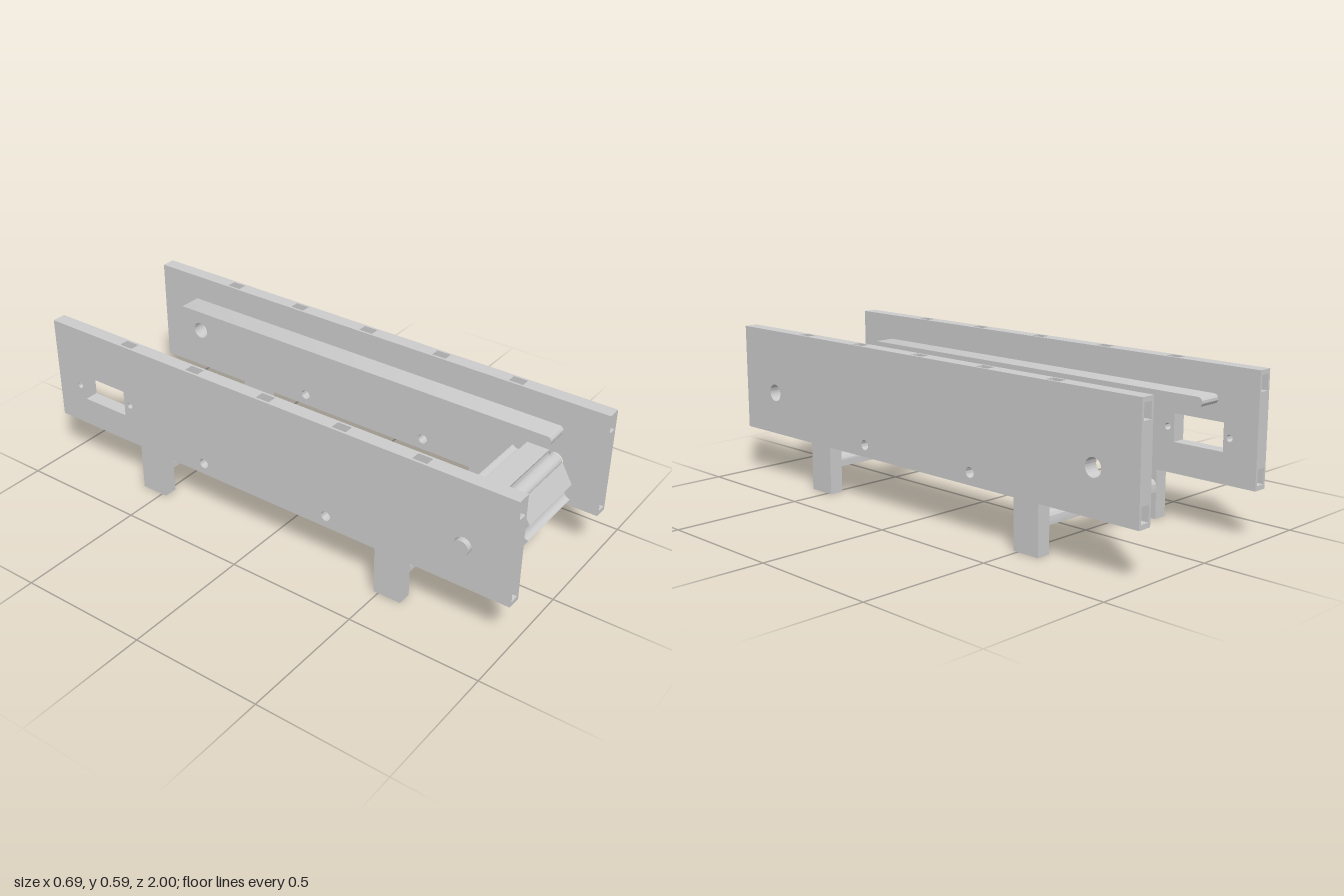
import * as THREE from 'three';
import { toCreasedNormals } from 'three/addons/utils/BufferGeometryUtils.js';

const material = new THREE.MeshStandardMaterial({ color: 0xcccccc });
const AXLE_Y = 0.346, AXLE_Z = 0.816;
const PLATE_THICKNESS = 0.054, SKIN = 0.009;

// Extrudes a (-z, y) profile along x, from x0 to x1
function alongX(shape, x0, x1) {
  const geometry = new THREE.ExtrudeGeometry(shape, { depth: x1 - x0, bevelEnabled: false, curveSegments: 24 });
  geometry.rotateY(Math.PI / 2).translate(x0, 0, 0);
  return toCreasedNormals(geometry, 0.6);
}

function add(parent, name, geometry) {
  const mesh = new THREE.Mesh(geometry, material);
  mesh.name = name;
  parent.add(mesh);
  return mesh;
}

function roundHole(z, y, radius) {
  return new THREE.Path().absarc(-z, y, radius, 0, Math.PI * 2, true);
}

// Plate outline with two legs; pockets are cut into the top and end edges when asked
function plateShape(pockets, hasWindow) {
  const bottom = 0.183, top = 0.592, depth = 0.06, half = 0.028;
  const pts = [[-1, bottom]];
  for (const u of [-0.535, 0.535]) {
    pts.push([u - 0.055, bottom], [u - 0.055, 0], [u + 0.055, 0], [u + 0.055, bottom]);
  }
  pts.push([1, bottom]);
  const endPockets = [0.228, 0.547];
  if (pockets) for (const y of endPockets) {
    pts.push([1, y - half], [1 - depth, y - half], [1 - depth, y + half], [1, y + half]);
  }
  pts.push([1, top]);
  if (pockets) for (const u of [0.635, 0.32, 0, -0.32, -0.635]) {
    pts.push([u + half, top], [u + half, top - depth], [u - half, top - depth], [u - half, top]);
  }
  pts.push([-1, top]);
  if (pockets) for (const y of [...endPockets].reverse()) {
    pts.push([-1, y + half], [depth - 1, y + half], [depth - 1, y - half], [-1, y - half]);
  }
  const shape = new THREE.Shape(pts.map(([u, y]) => new THREE.Vector2(u, y)));

  // Bolt holes and axle hole
  shape.holes.push(roundHole(0.275, 0.228, 0.019), roundHole(-0.275, 0.228, 0.019));
  shape.holes.push(roundHole(AXLE_Z, AXLE_Y, 0.033));
  if (hasWindow) {
    // Motor window with a screw hole on each side
    const window = [[0.66, 0.295], [0.66, 0.397], [0.865, 0.397], [0.865, 0.295]];
    shape.holes.push(new THREE.Path(window.map(([u, y]) => new THREE.Vector2(u, y))));
    shape.holes.push(roundHole(-0.632, AXLE_Y, 0.012), roundHole(-0.89, AXLE_Y, 0.012));
  } else {
    shape.holes.push(roundHole(-AXLE_Z, AXLE_Y, 0.033));
  }
  return shape;
}

// Two thin skins around a core with pockets
function sidePlate(name, x0, hasWindow) {
  const group = new THREE.Group();
  group.name = name;
  const x1 = x0 + PLATE_THICKNESS;
  add(group, 'plateSkin', alongX(plateShape(false, hasWindow), x0, x0 + SKIN));
  add(group, 'plateCore', alongX(plateShape(true, hasWindow), x0 + SKIN, x1 - SKIN));
  add(group, 'plateSkin', alongX(plateShape(false, hasWindow), x1 - SKIN, x1));
  return group;
}

// Bar with full round front and back edges
function railShape(y, radius, halfLength) {
  const u = halfLength - radius;
  const shape = new THREE.Shape();
  shape.absarc(u, y, radius, -Math.PI / 2, Math.PI / 2, false);
  shape.absarc(-u, y, radius, Math.PI / 2, Math.PI * 1.5, false);
  shape.closePath();
  return shape;
}

// Cross bar: flat underneath, rounded upper edges
function crossBarShape(z) {
  const u0 = -z - 0.055, u1 = -z + 0.055, y0 = 0.1, y1 = 0.145, r = 0.022;
  const shape = new THREE.Shape();
  shape.moveTo(u0, y0);
  shape.lineTo(u1, y0);
  shape.absarc(u1 - r, y1 - r, r, 0, Math.PI / 2, false);
  shape.absarc(u0 + r, y1 - r, r, Math.PI / 2, Math.PI, false);
  shape.closePath();
  return shape;
}

// Six flats separated by six concave grooves
function rollerShape() {
  const radius = 0.14, delta = 0.2164, depth = 0.024;
  const chord = radius * Math.cos(delta), half = radius * Math.sin(delta);
  const points = [];
  for (let i = 0; i < 6; i++) {
    const a = i * Math.PI / 3;
    for (let k = 0; k <= 12; k++) {
      const t = -Math.PI / 2 + k * Math.PI / 12;
      const r = chord - depth * Math.cos(t), s = half * Math.sin(t);
      points.push(new THREE.Vector2(
        -AXLE_Z + r * Math.cos(a) - s * Math.sin(a),
        AXLE_Y + r * Math.sin(a) + s * Math.cos(a)));
    }
  }
  return new THREE.Shape(points);
}

function shaft(parent, name, radius, x0, x1) {
  const geometry = new THREE.CylinderGeometry(radius, radius, x1 - x0, 32);
  geometry.rotateZ(Math.PI / 2);
  add(parent, name, geometry).position.set((x0 + x1) / 2, AXLE_Y, AXLE_Z);
}

export function createModel() {
  const model = new THREE.Group();
  model.name = 'conveyorFrame';

  model.add(sidePlate('rightSidePlate', -0.328, true));
  model.add(sidePlate('leftSidePlate', 0.288, false));

  // Belt support rails on the inner faces
  add(model, 'rightRail', alongX(railShape(0.4735, 0.0175, 0.838), -0.274, -0.184));
  add(model, 'leftRail', alongX(railShape(0.4735, 0.0175, 0.838), 0.198, 0.288));

  // Cross bars between the legs
  for (const z of [0.535, -0.535]) {
    add(model, 'crossBar', alongX(crossBarShape(z), -0.274, 0.288));
  }

  // Drive roller with stepped axle
  const drive = new THREE.Group();
  drive.name = 'driveRoller';
  add(drive, 'roller', alongX(rollerShape(), -0.145, 0.145));
  shaft(drive, 'rightHub', 0.031, -0.245, -0.14);
  shaft(drive, 'leftHub', 0.031, 0.14, 0.218);
  shaft(drive, 'rightAxle', 0.029, -0.345, -0.24);
  shaft(drive, 'leftAxle', 0.029, 0.21, 0.29);
  model.add(drive);

  return model;
}
